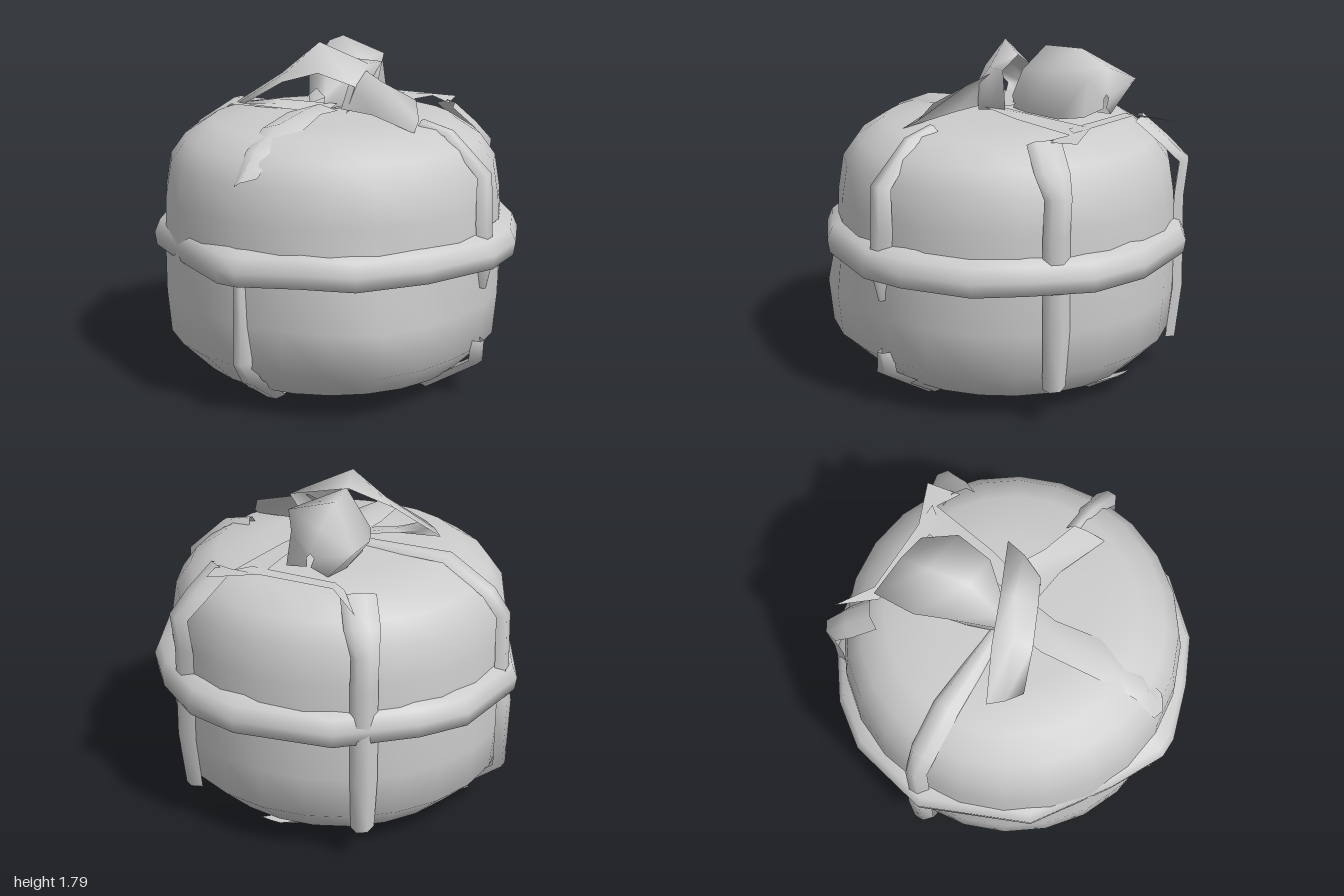
import * as THREE from 'three';
import { mergeVertices } from 'three/addons/utils/BufferGeometryUtils.js';

const grey = new THREE.MeshStandardMaterial({ color: 0xcccccc, side: THREE.DoubleSide });
grey.name = 'plain grey';

function smooth(geometry) {
  geometry.deleteAttribute('uv');
  geometry.deleteAttribute('normal');
  const g = mergeVertices(geometry, 1e-4);
  g.computeVertexNormals();
  return g;
}

// Cloth sheet through rows of points, all rows equally long
function sheet(name, rows, closed = false) {
  const n = rows[0].length, index = [];
  const last = closed ? rows.length : rows.length - 1;
  for (let i = 0; i < last; i++) {
    const a = i * n, b = ((i + 1) % rows.length) * n;
    for (let j = 0; j < n - 1; j++) {
      index.push(a + j, b + j, a + j + 1, b + j, b + j + 1, a + j + 1);
    }
  }
  const g = new THREE.BufferGeometry();
  g.setAttribute('position', new THREE.Float32BufferAttribute(rows.flat(2), 3));
  g.setIndex(index);
  g.computeVertexNormals();
  const mesh = new THREE.Mesh(g, grey);
  mesh.name = name;
  return mesh;
}

// Ribbon running up or down the body at an angle; path is [radius, height, half width]
function ribbon(name, x, z, path) {
  const l = Math.hypot(x, z), dx = x / l, dz = z / l;
  return sheet(name, path.map(([r, y, w], i) => {
    const p = path[Math.max(i - 1, 0)], q = path[Math.min(i + 1, path.length - 1)];
    const t = Math.hypot(q[0] - p[0], q[1] - p[1]);
    const nr = Math.abs(q[1] - p[1]) / t * 0.05;
    const ny = Math.abs(q[0] - p[0]) / t * 0.03 * (y > 0.7 ? 1 : -1);
    const at = (s, rr, yy) => [dx * rr - dz * s, Math.max(yy, 0), dz * rr + dx * s];
    return [at(-w, r - nr, y - ny), at(-w * 0.3, r, y), at(w * 0.6, r, y), at(w, r - nr, y - ny)];
  }));
}

export function createModel() {
  const model = new THREE.Group();
  model.name = 'wrappedRoundParcel';

  // Rounded body with one swollen front corner
  const profile = [[0, 0.04], [0.6, 0.05], [0.72, 0.1], [0.89, 0.27], [0.91, 0.5], [0.91, 0.8],
    [0.9, 1.02], [0.87, 1.2], [0.79, 1.31], [0.65, 1.4], [0.4, 1.42], [0, 1.43]];
  const lathe = new THREE.LatheGeometry(profile.map(p => new THREE.Vector2(...p)), 24);
  const pos = lathe.attributes.position;
  for (let i = 0; i < pos.count; i++) {
    const x = pos.getX(i), y = pos.getY(i), z = pos.getZ(i);
    const off = Math.abs(Math.atan2(z, x) - 0.8);
    const k = 1 + 0.07 * Math.max(0, 1 - off / 0.55) * (y > 0.15 && y < 0.7 ? 1 : 0);
    pos.setX(i, x * k);
    pos.setZ(i, z * k);
  }
  const body = new THREE.Mesh(smooth(lathe), grey);
  body.name = 'body';
  model.add(body);

  // Ribbon round the waist
  const waist = [[0.05, 1], [0.35, 0.9], [0.6, 0.78], [0.85, 0.5], [1, 0.08], [1, -0.18], [0.86, -0.52],
    [0.68, -0.73], [0.4, -0.92], [0.1, -1], [-0.4, -0.9], [-0.75, -0.63], [-0.91, -0.4], [-1, 0.05],
    [-0.75, 0.6], [-0.35, 0.86], [-0.06, 1]];
  const band = [[0.9, 0.74], [0.99, 0.73], [1, 0.8], [0.97, 0.87], [0.89, 0.9]];
  model.add(sheet('waistRibbon', waist.map(([x, z], i) =>
    band.map(([k, y]) => [x * k, y + (i % 2 ? 0.006 : -0.004), z * k])), true));

  // Ribbons down the sides
  model.add(ribbon('rightRibbon', -1, 0.01, [[0.15, 1.45, 0.04], [0.62, 1.45, 0.07], [0.86, 1.3, 0.07],
    [0.95, 1.18, 0.06], [0.96, 0.8, 0.06], [0.98, 0.68, 0.07], [0.97, 0.3, 0.06], [0.6, 0.01, 0.08]]));
  model.add(ribbon('leftRibbon', 1, 0.03, [[0.55, 1.44, 0.03], [0.72, 1.4, 0.04], [0.94, 1.2, 0.06],
    [0.95, 0.95, 0.07], [0.96, 0.75, 0.05], [0.93, 0.6, 0.02]]));
  model.add(ribbon('lowerLeftRibbon', 1, 0.04, [[0.93, 0.32, 0.04], [0.92, 0.2, 0.07], [0.62, 0.01, 0.07]]));
  model.add(ribbon('frontRibbon', 0.02, 1, [[0.93, 0.75, 0.04], [0.94, 0.3, 0.05], [0.85, 0.17, 0.06],
    [0.62, 0.01, 0.06]]));
  for (const s of [-1, 1]) {
    model.add(ribbon('backRibbon', s * 0.53, -0.8, [[0.72, 1.43, 0.09], [0.86, 1.31, 0.09],
      [0.97, 1.2, 0.07], [0.95, 1.0, 0.07], [0.96, 0.5, 0.07], [0.93, 0.2, 0.06]]));
  }

  // Crossed ribbons underneath
  for (const [x, z] of [[1, 0], [0, 1]]) {
    model.add(ribbon('bottomRibbon', x, z, [[-0.78, 0.12, 0.06], [-0.6, 0.01, 0.07], [0, 0.01, 0.07],
      [0.6, 0.01, 0.07], [0.78, 0.12, 0.06]]));
  }

  // Ribbons lying on the top
  model.add(sheet('topBackRibbon', [
    [[0.03, 1.45, 0.05], [0.13, 1.46, 0.04]],
    [[0.11, 1.46, -0.3], [0.21, 1.45, -0.25]],
    [[0.11, 1.45, -0.65], [0.27, 1.44, -0.64]],
    [[0.36, 1.43, -0.76], [0.4, 1.42, -0.58]]]));
  model.add(sheet('topCrossRibbon', [
    [[-0.46, 1.4, -0.78], [-0.32, 1.43, -0.6]],
    [[-0.28, 1.45, -0.65], [-0.26, 1.45, -0.58]],
    [[0.26, 1.45, -0.66], [0.2, 1.45, -0.58]]]));

  // Loose tails of the bow
  model.add(sheet('frontTail', [
    [[-0.1, 1.45, 0.08], [-0.02, 1.48, 0.1], [0.08, 1.45, 0.08]],
    [[-0.12, 1.45, 0.25], [-0.02, 1.47, 0.25], [0.06, 1.45, 0.22]],
    [[-0.08, 1.42, 0.55], [0.02, 1.45, 0.55], [0.11, 1.42, 0.45]],
    [[-0.04, 1.34, 0.76], [0.03, 1.36, 0.78], [0.09, 1.34, 0.72]],
    [[-0.03, 1.19, 0.88], [0.02, 1.22, 0.9], [0.09, 1.24, 0.85]]]));
  model.add(sheet('sideTail', [
    [[0.1, 1.46, 0.08], [0.12, 1.6, 0.03], [0.16, 1.66, -0.05]],
    [[0.3, 1.45, 0.1], [0.3, 1.57, 0.06], [0.3, 1.61, 0]],
    [[0.59, 1.4, 0.19], [0.57, 1.45, 0.1], [0.52, 1.54, 0.04]]]));

  // Front bow loop, folded over and back to the knot
  model.add(sheet('frontBowLoop', [
    [[0, 1.44, 0.12], [0, 1.45, 0], [0, 1.46, -0.05]],
    [[-0.25, 1.46, 0.22], [-0.25, 1.47, 0.15], [-0.3, 1.48, 0.08]],
    [[-0.36, 1.48, 0.3], [-0.44, 1.47, 0.24], [-0.5, 1.46, 0.17]],
    [[-0.17, 1.6, 0.23], [-0.2, 1.64, 0.14], [-0.28, 1.62, 0.06]],
    [[0, 1.65, 0.15], [-0.05, 1.8, 0.05], [-0.06, 1.72, -0.03]],
    [[0.17, 1.58, 0.06], [0.19, 1.69, -0.05], [0.21, 1.69, -0.16]],
    [[0.13, 1.44, 0.08], [0.12, 1.45, 0], [0.1, 1.45, -0.08]]]));

  // Back bow loop, a puffed pouch leaning backwards
  const pouch = [
    [[-0.14, 1.43, 0], [-0.15, 1.5, 0], [-0.1, 1.54, 0], [-0.05, 1.5, 0], [-0.06, 1.43, 0]],
    [[-0.2, 1.44, -0.15], [-0.27, 1.6, -0.2], [-0.12, 1.78, -0.17], [0.08, 1.68, -0.18], [0.02, 1.44, -0.15]],
    [[-0.22, 1.44, -0.38], [-0.34, 1.6, -0.36], [-0.16, 1.78, -0.38], [0.1, 1.7, -0.38], [0.04, 1.44, -0.38]],
    [[-0.2, 1.45, -0.54], [-0.36, 1.62, -0.58], [-0.16, 1.7, -0.55], [0, 1.66, -0.54], [0.03, 1.47, -0.54]],
    [[-0.12, 1.5, -0.57], [-0.14, 1.55, -0.57], [-0.12, 1.57, -0.57], [-0.1, 1.55, -0.57], [-0.1, 1.5, -0.57]]];
  model.add(sheet('backBowLoop', pouch));

  return model;
}
